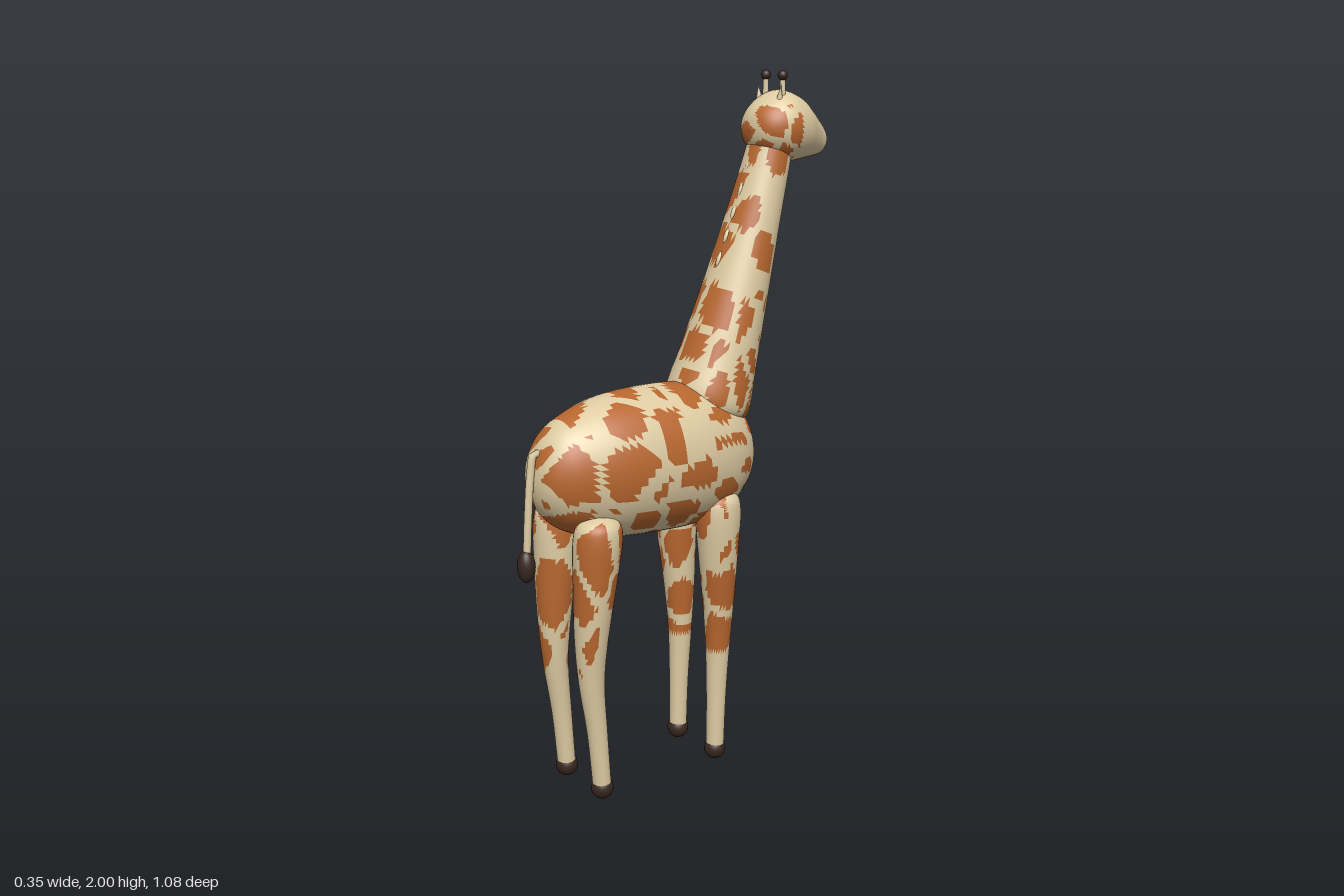
import * as THREE from 'three';

const mat = (name, color) => Object.assign(new THREE.MeshStandardMaterial({ color }), { name });

// Repeatable pseudo-random value in 0..1 for a lattice cell
function hash(x, y, z, k) {
  const s = Math.sin(x * 127.1 + y * 311.7 + z * 74.7 + k * 53.3) * 43758.5453;
  return s - Math.floor(s);
}

// True inside a coat patch: cells of a jittered lattice with pale gaps between them
function inPatch(p, size, stretch, gap) {
  const q = [p.x / size, p.y / (size * stretch), p.z / size];
  const b = q.map(Math.floor);
  let f1 = 9, f2 = 9;
  for (let i = -1; i <= 1; i++) for (let j = -1; j <= 1; j++) for (let k = -1; k <= 1; k++) {
    const c = [b[0] + i, b[1] + j, b[2] + k];
    const d = Math.hypot(...c.map((v, n) => v + hash(...c, n) - q[n]));
    if (d < f1) { f2 = f1; f1 = d; } else if (d < f2) f2 = d;
  }
  return f2 - f1 > gap;
}

// Smooth skin over elliptical rings [x, y, z, radiusX, radiusOther];
// phi turns the rings: 0 = stacked along z, PI / 2 = stacked along y.
// Triangles for which spotted(centre) holds use the second material.
function loft(name, rings, phi, around, steps, mats, spotted) {
  const spline = (pts) => new THREE.CatmullRomCurve3(pts, false, 'catmullrom', 0.5);
  const mid = spline(rings.map((r) => new THREE.Vector3(r[0], r[1], r[2])));
  const rad = spline(rings.map((r) => new THREE.Vector3(r[3], r[4], 0)));
  const pts = [];
  for (let i = 0; i <= steps; i++) {
    const c = mid.getPoint(i / steps), r = rad.getPoint(i / steps);
    for (let j = 0; j < around; j++) {
      const a = (j / around) * Math.PI * 2, s = r.y * Math.sin(a);
      pts.push(new THREE.Vector3(c.x + r.x * Math.cos(a), c.y + s * Math.cos(phi), c.z - s * Math.sin(phi)));
    }
  }
  const plain = [], spots = [], centre = new THREE.Vector3();
  const tri = (a, b, c) => {
    centre.copy(pts[a]).add(pts[b]).add(pts[c]).divideScalar(3);
    (spotted(centre) ? spots : plain).push(a, b, c);
  };
  for (let i = 0; i < steps; i++) for (let j = 0; j < around; j++) {
    const a = i * around + j, b = i * around + ((j + 1) % around);
    tri(a, b, b + around);
    tri(a, b + around, a + around);
  }
  const geo = new THREE.BufferGeometry().setFromPoints(pts);
  geo.setIndex([...plain, ...spots]);
  geo.addGroup(0, plain.length, 0);
  geo.addGroup(plain.length, spots.length, 1);
  geo.computeVertexNormals();
  const mesh = new THREE.Mesh(geo, mats);
  mesh.name = name;
  return mesh;
}

export function createModel() {
  const cream = mat('cream', 0xdecba2);
  const brown = mat('patchBrown', 0xb8672f);
  const dark = mat('darkBrown', 0x38271f);
  const coat = [cream, brown];
  const model = new THREE.Group();
  model.name = 'giraffe';

  const add = (name, geo, material, x, y, z) => {
    const m = new THREE.Mesh(geo, material);
    m.name = name;
    m.position.set(x, y, z);
    model.add(m);
    return m;
  };
  const ball = (name, material, x, y, z, rx, ry = rx, rz = rx) => {
    const m = add(name, new THREE.SphereGeometry(1, 20, 14), material, x, y, z);
    m.scale.set(rx, ry, rz);
    return m;
  };
  // Rows of [z, top, bottom, half width] to rings
  const profile = (rows) => rows.map(([z, t, b, w]) => [0, (t + b) / 2, z, w, (t - b) / 2]);

  // Body
  model.add(loft('body', profile([
    [-0.235, 0.92, 0.92, 0], [-0.23, 0.975, 0.865, 0.05], [-0.21, 1.03, 0.82, 0.09],
    [-0.17, 1.085, 0.775, 0.127], [-0.1, 1.128, 0.735, 0.157], [0, 1.146, 0.725, 0.174],
    [0.1, 1.15, 0.728, 0.176], [0.2, 1.147, 0.735, 0.171], [0.3, 1.132, 0.748, 0.155],
    [0.4, 1.095, 0.785, 0.122], [0.45, 1.055, 0.825, 0.092], [0.48, 1.0, 0.875, 0.055],
    [0.492, 0.935, 0.935, 0],
  ]), 0, 60, 56, coat, (p) => inPatch(p, 0.125, 1, 0.17)));

  // Neck, with a plain throat
  model.add(loft('neck', [
    [0, 1.04, -0.095, 0, 0], [0, 1.045, -0.096, 0.085, 0.085], [0, 1.075, -0.105, 0.125, 0.124],
    [0, 1.2, -0.147, 0.117, 0.112], [0, 1.4, -0.212, 0.1, 0.092],
    [0, 1.6, -0.275, 0.083, 0.075], [0, 1.74, -0.318, 0.072, 0.066], [0, 1.82, -0.34, 0.066, 0.062],
  ], 1.93, 48, 56, coat, (p) => {
    const front = -0.105 - (p.y - 1.075) * 0.315 - p.z;
    return front < 0.075 - (p.y - 1.07) * 0.07 && inPatch(p, 0.1, 1.3, 0.17);
  }));

  // Head, patched only at the back
  model.add(loft('head', profile([
    [-0.54, 1.8, 1.8, 0], [-0.535, 1.824, 1.777, 0.02], [-0.52, 1.845, 1.762, 0.032],
    [-0.5, 1.865, 1.756, 0.042], [-0.46, 1.9, 1.75, 0.066], [-0.42, 1.928, 1.745, 0.088],
    [-0.37, 1.945, 1.74, 0.101], [-0.33, 1.938, 1.745, 0.097], [-0.29, 1.912, 1.768, 0.077],
    [-0.265, 1.88, 1.8, 0.045], [-0.256, 1.84, 1.84, 0],
  ]), 0, 44, 44, coat, (p) => p.z > -0.37 && p.y < 1.905 && inPatch(p, 0.09, 1, 0.17)));

  // Horns and ears
  for (const s of [-1, 1]) {
    add('horn', new THREE.CylinderGeometry(0.007, 0.01, 0.07, 12), cream, s * 0.036, 1.95, -0.345);
    ball('hornTip', dark, s * 0.036, 1.986, -0.345, 0.0145);
    const ear = add('ear', new THREE.ConeGeometry(0.01, 0.045, 10), cream, s * 0.046, 1.938, -0.328);
    ear.rotation.z = -s * 0.15;
  }

  // Mane tufts down the back of the neck
  for (let i = 0; i < 6; i++) {
    const y = 1.48 + i * 0.064;
    const tuft = ball('maneTuft', cream, 0, y, -0.152 - (y - 1.48) * 0.41, 0.009, 0.025, 0.012);
    tuft.rotation.x = -0.4;
  }

  // Legs: rows of [x, y, z, radiusX, radiusZ] from hoof to shoulder or hip
  const legs = {
    frontLeg: [
      [0.09, 0.03, -0.07, 0.027, 0.026], [0.09, 0.2, -0.074, 0.029, 0.029],
      [0.09, 0.36, -0.078, 0.036, 0.036], [0.093, 0.5, -0.077, 0.047, 0.046],
      [0.098, 0.67, -0.071, 0.06, 0.06], [0.1, 0.78, -0.069, 0.063, 0.067],
      [0.1, 0.825, -0.069, 0.048, 0.052], [0.1, 0.845, -0.069, 0, 0],
    ],
    hindLeg: [
      [0.09, 0.03, 0.34, 0.027, 0.026], [0.09, 0.2, 0.354, 0.029, 0.029],
      [0.09, 0.36, 0.371, 0.036, 0.037], [0.093, 0.5, 0.371, 0.049, 0.048],
      [0.098, 0.67, 0.359, 0.063, 0.062], [0.1, 0.78, 0.35, 0.066, 0.069],
      [0.1, 0.825, 0.348, 0.05, 0.053], [0.1, 0.845, 0.347, 0, 0],
    ],
  };
  for (const [name, rows] of Object.entries(legs)) {
    for (const s of [-1, 1]) {
      const rings = rows.map(([x, ...rest]) => [s * x, ...rest]);
      model.add(loft(name, rings, Math.PI / 2, 32, 56, coat,
        (p) => p.y > 0.35 && inPatch(p, 0.085, 2, 0.15)));
      ball('hoof', dark, s * 0.09, 0.033, rows[0][2], 0.032, 0.033, 0.032);
    }
  }

  // Tail with a dark tuft
  const path = new THREE.CatmullRomCurve3([
    [0, 1.01, 0.465], [0, 1.015, 0.485], [0, 0.96, 0.497], [0, 0.85, 0.507], [0, 0.72, 0.515],
  ].map((p) => new THREE.Vector3(...p)));
  add('tail', new THREE.TubeGeometry(path, 24, 0.011, 12), cream, 0, 0, 0);
  ball('tailTuft', dark, 0, 0.705, 0.517, 0.026, 0.046, 0.025);

  return model;
}
